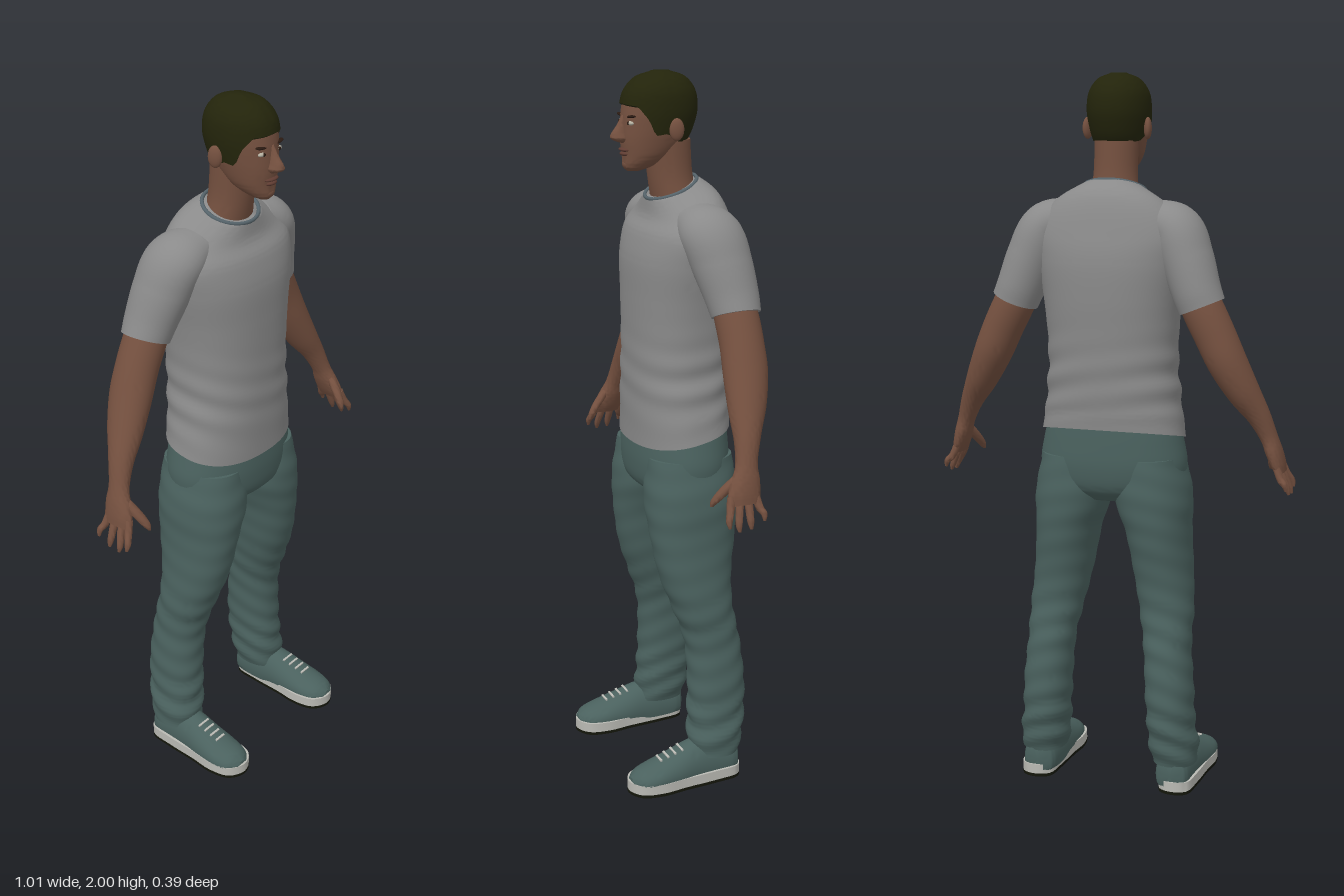
import * as THREE from 'three';
import { toCreasedNormals } from 'three/addons/utils/BufferGeometryUtils.js';

const mat = (name, color) => Object.assign(new THREE.MeshStandardMaterial({ color }), { name });

// Closed tube surface from point(u, v), u around and v along, capped at both ends
function surface(point, nu, nv) {
  const pos = [], idx = [], p = new THREE.Vector3();
  const mids = [new THREE.Vector3(), new THREE.Vector3()];
  for (let j = 0; j <= nv; j++) for (let i = 0; i < nu; i++) {
    point(i / nu, j / nv, p);
    pos.push(p.x, p.y, p.z);
    if (j === 0) mids[0].addScaledVector(p, 1 / nu);
    if (j === nv) mids[1].addScaledVector(p, 1 / nu);
  }
  const n = nu * (nv + 1);
  mids.forEach((m) => pos.push(m.x, m.y, m.z));
  for (let i = 0; i < nu; i++) {
    const k = (i + 1) % nu;
    for (let j = 0; j < nv; j++) {
      const a = j * nu + i, b = j * nu + k;
      idx.push(a, b, a + nu, b, b + nu, a + nu);
    }
    idx.push(n, k, i, n + 1, nv * nu + i, nv * nu + k);
  }
  // Turn the faces outwards when the enclosed volume is negative
  const at = (i) => new THREE.Vector3().fromArray(pos, i * 3).sub(mids[0]);
  let volume = 0;
  for (let i = 0; i < idx.length; i += 3) volume += at(idx[i]).dot(at(idx[i + 1]).cross(at(idx[i + 2])));
  if (volume < 0) idx.reverse();
  const g = new THREE.BufferGeometry();
  g.setAttribute('position', new THREE.Float32BufferAttribute(pos, 3));
  g.setIndex(idx);
  return toCreasedNormals(g, 0.9);
}

// Smooth interpolation of keys [x, y, z, radiusU, radiusV]
function sampler(keys) {
  const curve = (f) => new THREE.CatmullRomCurve3(keys.map(f), false, 'catmullrom', 0.5);
  const path = curve((k) => new THREE.Vector3(k[0], k[1], k[2]));
  const size = curve((k) => new THREE.Vector3(k[3], k[4], 0));
  return (t) => ({ c: path.getPoint(t), r: size.getPoint(t), d: path.getTangent(t) });
}

const power = (v, e) => Math.sign(v) * Math.abs(v) ** e;

// plane: 'xz' level rings, 'xy' upright rings, 'limb' rings square to the path
function loft(keys, { plane = 'xz', nu = 32, nv = 40, square = 2, mod } = {}) {
  const sample = sampler(keys), rows = [];
  for (let j = 0; j <= nv; j++) rows.push(sample(j / nv));
  return surface((u, v, p) => {
    const { c, r, d } = rows[Math.round(v * nv)], th = u * Math.PI * 2;
    const a = power(Math.cos(th), 2 / square) * r.x, b = power(Math.sin(th), 2 / square) * r.y;
    const len = Math.hypot(d.x, d.y) || 1;
    if (plane === 'xz') p.set(c.x + a, c.y, c.z + b);
    else if (plane === 'xy') p.set(c.x + a, c.y + b, c.z);
    else p.set(c.x - (a * d.y) / len, c.y + (a * d.x) / len, c.z + b);
    if (mod) mod(p, th, c);
  }, nu, nv);
}

// Bell-shaped weight used to place cloth folds
const bell = (y, mid, width) => Math.exp(-(((y - mid) / width) ** 2));
const push = (p, c, k) => { p.x += (p.x - c.x) * k; p.z += (p.z - c.z) * k; };

export function createModel() {
  const shirt = mat('shirt grey', 0x8a8a8a), skin = mat('skin', 0x74503f), denim = mat('trouser teal', 0x4a615e);
  const hair = mat('hair', 0x23240b), rubber = mat('sole white', 0xb9b9b3), tread = mat('tread black', 0x14160b);
  const trim = mat('collar trim', 0x56646b), white = mat('eye white', 0xb5b0a0);
  const dark = mat('brow dark', 0x2a1a12), lip = mat('lips', 0x5f3c32);
  const model = new THREE.Group();
  const add = (name, geo, material, parent = model) => {
    const m = new THREE.Mesh(geo, material);
    m.name = name;
    parent.add(m);
    return m;
  };
  const blob = (name, material, x, y, z, a, b, c, parent) => {
    const m = add(name, new THREE.SphereGeometry(1, 16, 12), material, parent);
    m.position.set(x, y, z);
    m.scale.set(a, b, c);
    return m;
  };

  // Shirt body with a slanted neckline, slanted hem and waist folds
  add('shirtBody', loft([
    [0, 1.015, -0.035, 0.204, 0.135], [0, 1.1, -0.036, 0.192, 0.137], [0, 1.2, -0.039, 0.182, 0.14],
    [0, 1.3, -0.042, 0.183, 0.142], [0, 1.4, -0.045, 0.193, 0.145], [0, 1.5, -0.046, 0.21, 0.143],
    [0, 1.58, -0.048, 0.215, 0.125], [0, 1.645, -0.045, 0.165, 0.098], [0, 1.69, -0.025, 0.088, 0.07],
  ], {
    nu: 56, nv: 72, square: 2.3, mod: (p, th, c) => {
      const fold = 0.022 * bell(p.y, 1.17, 0.1) * (0.5 + 0.5 * Math.abs(Math.cos(th)));
      push(p, c, fold * Math.sin(p.y * 75 + 3 * Math.cos(th) + 2 * Math.sin(th)));
      const top = THREE.MathUtils.smoothstep(p.y, 1.56, 1.69), low = 1 - THREE.MathUtils.smoothstep(p.y, 1.01, 1.12);
      p.y -= (p.z - c.z) * (0.42 * top + 0.22 * low);
    },
  }), shirt);
  const collar = add('collar', new THREE.TorusGeometry(1, 0.07, 8, 40).rotateX(Math.PI / 2), trim);
  collar.position.set(0, 1.69, -0.025);
  collar.rotation.x = 0.4;
  collar.scale.set(0.085, 0.085, 0.073);

  // Trouser seat
  add('trouserSeat', loft([
    [0, 1.08, -0.037, 0.18, 0.125], [0, 1.0, -0.036, 0.2, 0.132], [0, 0.93, -0.035, 0.21, 0.134],
    [0, 0.87, -0.033, 0.19, 0.122], [0, 0.835, -0.033, 0.1, 0.085],
  ], { nu: 48, nv: 24, square: 2.2 }), denim);

  for (const s of [1, -1]) {
    const side = new THREE.Group();
    side.name = s > 0 ? 'leftLimbs' : 'rightLimbs';
    model.add(side);
    const flip = (keys) => keys.map(([x, ...rest]) => [s * x, ...rest]);

    // Sleeve
    add('sleeve', loft(flip([
      [0.12, 1.615, -0.052, 0.055, 0.07], [0.185, 1.582, -0.06, 0.072, 0.088], [0.22, 1.51, -0.075, 0.072, 0.084],
      [0.25, 1.43, -0.09, 0.067, 0.074], [0.268, 1.385, -0.095, 0.065, 0.067],
    ]), { plane: 'limb' }), shirt, side);

    // Bare arm running into the palm
    add('arm', loft(flip([
      [0.25, 1.42, -0.092, 0.055, 0.058], [0.275, 1.37, -0.095, 0.057, 0.06], [0.305, 1.31, -0.095, 0.056, 0.06],
      [0.34, 1.235, -0.09, 0.053, 0.061], [0.382, 1.155, -0.075, 0.044, 0.052], [0.42, 1.09, -0.057, 0.032, 0.037],
      [0.446, 1.03, -0.042, 0.024, 0.031], [0.459, 0.99, -0.033, 0.023, 0.041], [0.47, 0.955, -0.025, 0.019, 0.046],
      [0.478, 0.93, -0.023, 0.013, 0.042],
    ]), { plane: 'limb', nv: 60 }), skin, side);

    // Four fingers and a thumb
    [[0.012, 0.03, 0.88], [-0.012, 0.002, 0.867], [-0.035, -0.032, 0.87], [-0.056, -0.07, 0.888]].forEach(([z0, z1, y]) => {
      add('finger', loft(flip([
        [0.47, 0.955, z0, 0.011, 0.012], [0.484, 0.92, (z0 + z1) / 2, 0.0105, 0.011],
        [0.497, y + 0.018, z1, 0.009, 0.009], [0.502, y, z1, 0.004, 0.004],
      ]), { plane: 'limb', nu: 10, nv: 10 }), skin, side);
    });
    add('thumb', loft(flip([
      [0.458, 1.0, -0.012, 0.014, 0.015], [0.446, 0.967, 0.018, 0.014, 0.016],
      [0.436, 0.938, 0.042, 0.011, 0.011], [0.432, 0.922, 0.05, 0.004, 0.005],
    ]), { plane: 'limb', nu: 12, nv: 12 }), skin, side);

    // Trouser leg with folds at the knee and bunching above the shoe
    add('trouserLeg', loft(flip([
      [0.11, 0.96, -0.035, 0.09, 0.12], [0.116, 0.85, -0.033, 0.107, 0.132], [0.134, 0.74, -0.033, 0.089, 0.124],
      [0.149, 0.62, -0.035, 0.081, 0.105], [0.163, 0.52, -0.052, 0.075, 0.087], [0.173, 0.42, -0.077, 0.066, 0.08],
      [0.182, 0.3, -0.087, 0.067, 0.083], [0.187, 0.2, -0.085, 0.066, 0.083], [0.194, 0.13, -0.079, 0.069, 0.079],
      [0.197, 0.08, -0.074, 0.062, 0.072],
    ]), {
      nu: 40, nv: 100, square: 2.2, mod: (p, th, c) => {
        const w = 0.045 * bell(p.y, 0.17, 0.12) + 0.025 * bell(p.y, 0.45, 0.1) + 0.008;
        push(p, c, w * Math.sin(p.y * 85 + 2.5 * Math.sin(th) + 2 * s * Math.cos(th)));
      },
    }), denim, side);

    // Shoe upper
    add('shoeUpper', loft(flip([
      [0.2, 0.05, -0.143, 0.025, 0.045], [0.2, 0.05, -0.125, 0.046, 0.068], [0.2, 0.05, -0.06, 0.051, 0.08],
      [0.203, 0.05, 0, 0.053, 0.073], [0.207, 0.042, 0.06, 0.057, 0.06], [0.21, 0.038, 0.12, 0.058, 0.043],
      [0.211, 0.034, 0.165, 0.047, 0.031], [0.211, 0.034, 0.189, 0.02, 0.014],
    ]), { plane: 'xy', mod: (p) => { p.y = Math.max(p.y, 0.02); } }), denim, side);

    // Sole: white midsole over a dark tread
    const edge = [[0.04, -0.132], [0.051, -0.06], [0.056, 0.04], [0.062, 0.11], [0.047, 0.172]];
    const outline = [[0, -0.148], ...edge, [0, 0.196], ...edge.map(([x, z]) => [-x, z]).reverse()];
    const curve = new THREE.CatmullRomCurve3(outline.map(([x, z]) => new THREE.Vector3(x, -z, 0)), true);
    const shape = new THREE.Shape(curve.getPoints(48).slice(0, -1).map((p) => new THREE.Vector2(p.x, p.y)));
    const slab = (name, y, depth, material) => {
      const g = new THREE.ExtrudeGeometry(shape, { depth, bevelEnabled: false }).rotateX(-Math.PI / 2);
      add(name, toCreasedNormals(g, 0.7), material, side).position.set(s * 0.207, y, 0);
    };
    slab('tread', 0, 0.009, tread);
    slab('midsole', 0.009, 0.028, rubber);

    // Laces
    for (let i = 0; i < 4; i++) {
      const lace = add('lace', new THREE.BoxGeometry(0.042 - i * 0.002, 0.005, 0.006), rubber, side);
      lace.position.set(s * (0.206 + i * 0.001), 0.109 - i * 0.0065, 0.036 + i * 0.022);
      lace.rotation.x = 0.3;
    }
  }

  // Neck and head
  add('neck', loft([
    [0, 1.63, -0.04, 0.08, 0.062], [0, 1.69, -0.028, 0.066, 0.062], [0, 1.74, -0.02, 0.06, 0.062],
    [0, 1.82, -0.012, 0.06, 0.065],
  ], { nv: 16 }), skin);
  const headKeys = [
    [0, 1.74, 0.085, 0.016, 0.018], [0, 1.752, 0.071, 0.034, 0.042], [0, 1.78, 0.047, 0.055, 0.067],
    [0, 1.82, 0.028, 0.068, 0.09], [0, 1.86, 0.018, 0.076, 0.099], [0, 1.9, 0.012, 0.08, 0.102],
    [0, 1.945, 0.01, 0.074, 0.093], [0, 1.978, 0.008, 0.05, 0.064], [0, 1.992, 0.006, 0.015, 0.02],
  ];
  add('head', loft(headKeys, { nv: 48, nu: 40, square: 2.1 }), skin);

  // Close-cropped hair: follows the skull down to a hairline that varies with the angle from the front
  const line = [[0, 1.918], [0.7, 1.914], [1.05, 1.88], [1.3, 1.837], [1.6, 1.842], [2, 1.82], [3.15, 1.808]];
  const hairline = (a) => {
    const i = line.findIndex((q, k) => k > 0 && a <= q[0]), [a0, y0] = line[i - 1], [a1, y1] = line[i];
    return y0 + ((y1 - y0) * (a - a0)) / (a1 - a0);
  };
  const skull = sampler(headKeys);
  add('hair', surface((u, v, p) => {
    const th = u * Math.PI * 2, low = hairline(Math.abs(Math.atan2(Math.cos(th), Math.sin(th))));
    const y = low + (1.992 - low) * Math.sin((v * Math.PI) / 2);
    let a = 0, b = 1;
    for (let k = 0; k < 24; k++) { const m = (a + b) / 2; if (skull(m).c.y < y) a = m; else b = m; }
    const { c, r } = skull(a), e = 2 / 2.1, grow = 0.006;
    p.set(power(Math.cos(th), e) * (r.x + grow), y + 0.008 * v, c.z + power(Math.sin(th), e) * (r.y + grow));
  }, 56, 24), hair);

  // Face
  add('nose', loft([
    [0, 1.888, 0.106, 0.007, 0.011], [0, 1.862, 0.114, 0.01, 0.018], [0, 1.838, 0.121, 0.016, 0.028],
    [0, 1.826, 0.119, 0.02, 0.029], [0, 1.816, 0.112, 0.012, 0.014],
  ], { nu: 16, nv: 16 }), skin);
  blob('upperLip', lip, 0, 1.797, 0.109, 0.026, 0.006, 0.015);
  blob('lowerLip', lip, 0, 1.786, 0.107, 0.022, 0.007, 0.015);
  blob('chin', skin, 0, 1.758, 0.093, 0.026, 0.018, 0.022);
  for (const s of [1, -1]) {
    blob('ear', skin, s * 0.086, 1.853, -0.004, 0.011, 0.03, 0.02).rotation.y = s * -0.3;
    blob('eye', white, s * 0.032, 1.869, 0.105, 0.014, 0.006, 0.008);
    blob('iris', dark, s * 0.031, 1.869, 0.111, 0.005, 0.005, 0.004);
    blob('brow', dark, s * 0.034, 1.886, 0.104, 0.02, 0.004, 0.01).rotation.z = s * 0.12;
  }
  return model;
}
